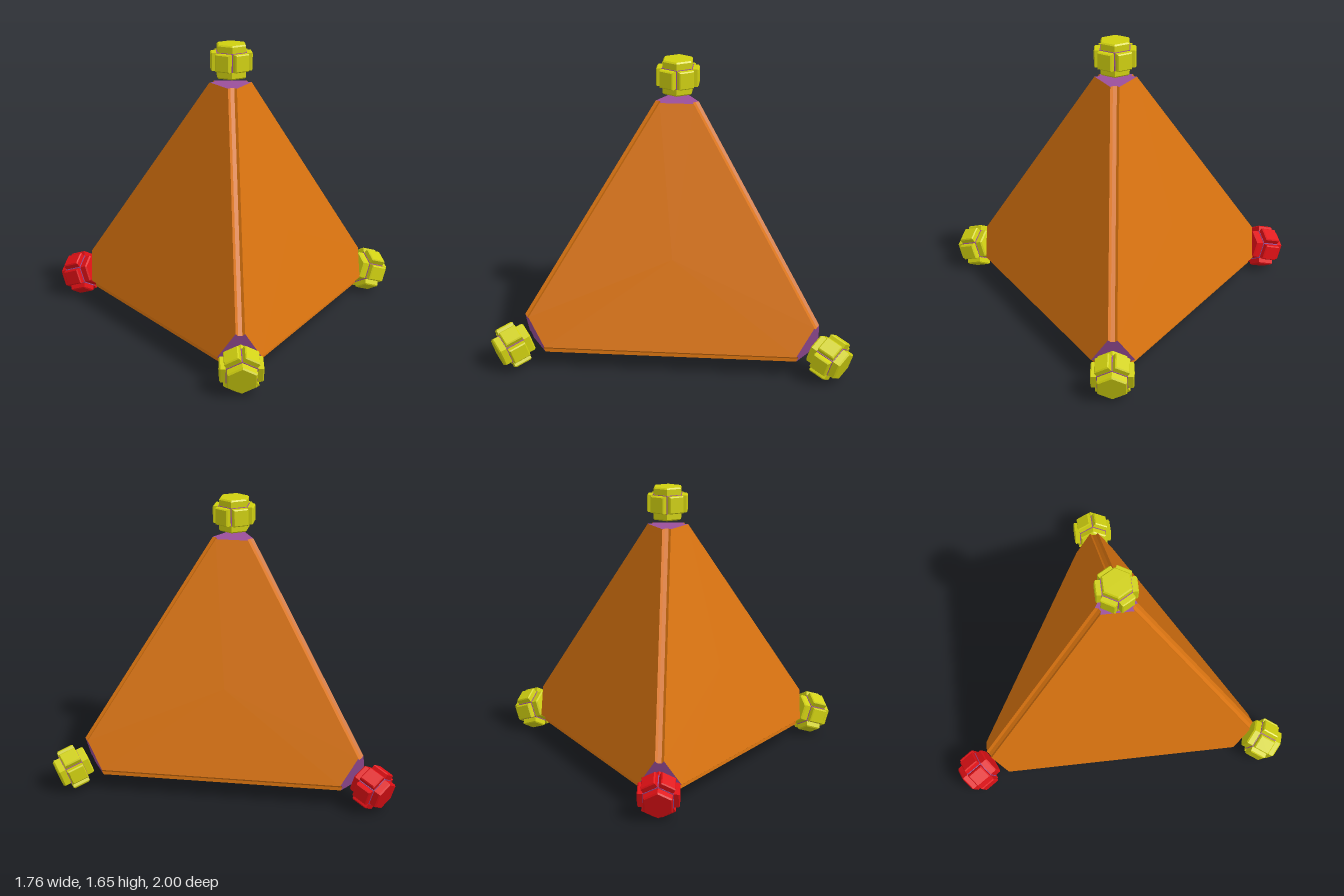
import * as THREE from 'three';

const CENTRE = new THREE.Vector3(0.24, 0.5, 0);
const R = 1.17;        // centre to the sharp (uncut) corner
const CUT = 0.1506;    // fraction of each edge removed at a corner
const TRIM = 0.05;     // edge trim, measured in the corner cut
const KNOB_R = 1.07;   // centre to knob

const mat = (color) => new THREE.MeshStandardMaterial({ color, flatShading: true });

// Four corner directions of a regular tetrahedron: top, left, and the other two
const T = Math.acos(-1 / 3);
const Z = new THREE.Vector3(0, 0, 1), Y = new THREE.Vector3(0, 1, 0);
const turns = [new THREE.Quaternion()];
for (let i = 0; i < 3; i++) {
  turns.push(new THREE.Quaternion().setFromAxisAngle(Y, i * Math.PI * 2 / 3)
    .multiply(new THREE.Quaternion().setFromAxisAngle(Z, T)));
}
const dirs = turns.map((q) => Y.clone().applyQuaternion(q));
const V = dirs.map((d) => d.clone().multiplyScalar(R));

// Groove profile across edge i-j, at the cut of corner i, from face ijk to face ijl
function profile(i, j, k, l) {
  const e = V[i].clone().lerp(V[j], CUT);
  const side = (m) => V[m].clone().sub(V[j]).setLength(TRIM).add(e);
  const a = side(k), b = side(l);
  const inward = cutCentre(i).sub(e).setLength(0.015);
  return [a, a.clone().lerp(b, 0.28).add(inward), a.clone().lerp(b, 0.72).add(inward), b];
}

function cutCentre(i) {
  const c = new THREE.Vector3();
  for (let j = 0; j < 4; j++) if (j !== i) c.add(V[i].clone().lerp(V[j], CUT));
  return c.divideScalar(3);
}

// Fan a polygon around its middle, facing away from the body's centre
function addPolygon(out, pts) {
  const c = pts.reduce((s, p) => s.add(p), new THREE.Vector3()).divideScalar(pts.length);
  pts.forEach((p, n) => {
    const q = pts[(n + 1) % pts.length];
    const normal = p.clone().sub(c).cross(q.clone().sub(c));
    const tri = normal.dot(c) > 0 ? [c, p, q] : [c, q, p];
    tri.forEach((v) => out.push(v.x, v.y, v.z));
  });
}

function polygonMesh(name, positions, material) {
  const g = new THREE.BufferGeometry();
  g.setAttribute('position', new THREE.Float32BufferAttribute(positions, 3));
  g.computeVertexNormals();
  const m = new THREE.Mesh(g, material);
  m.name = name;
  return m;
}

function makeBody(orange, purple) {
  const body = new THREE.Group();
  body.name = 'pyramidBody';
  const faces = [], grooves = [], cuts = [];
  for (let i = 0; i < 4; i++) {
    const others = [0, 1, 2, 3].filter((n) => n !== i);
    // large face opposite corner i
    const face = [];
    others.forEach((a, n) => {
      const b = others[(n + 1) % 3], c = others[(n + 2) % 3];
      face.push(profile(a, c, b, i)[0], profile(a, b, c, i)[0]);
    });
    addPolygon(faces, face);
    // flat cut at corner i
    addPolygon(cuts, others.flatMap((j, n) =>
      profile(i, j, others[(n + 2) % 3], others[(n + 1) % 3])));
    // grooved edges, one for each pair of corners
    for (let j = i + 1; j < 4; j++) {
      const [k, l] = others.filter((n) => n !== j);
      const p = profile(i, j, k, l), q = profile(j, i, k, l);
      for (let n = 0; n < 3; n++) addPolygon(grooves, [p[n], p[n + 1], q[n + 1], q[n]]);
    }
  }
  body.add(polygonMesh('faces', faces, orange),
    polygonMesh('edgeGrooves', grooves, orange),
    polygonMesh('cornerCuts', cuts, purple));
  body.position.copy(CENTRE);
  return body;
}

// Six-sided knob with a raised pad on each side
function makeKnob(color, purple) {
  const knob = new THREE.Group();
  knob.name = 'cornerKnob';
  const material = mat(color);
  const hex = (name, r, top, h, y, m) => {
    const mesh = new THREE.Mesh(new THREE.CylinderGeometry(top, r, h, 6), m);
    mesh.rotation.y = Math.PI / 6;
    mesh.position.y = y;
    mesh.name = name;
    knob.add(mesh);
  };
  hex('core', 0.092, 0.092, 0.176, 0, material);
  hex('topCap', 0.092, 0.084, 0.008, 0.092, material);
  const base = 0.092;
  hex('bottomCap', 0.084, base, 0.008, -0.092, material);
  hex('band', 0.097, 0.097, 0.106, 0, purple);

  const bevel = 0.006, w = 0.045 - bevel, h = 0.05 - bevel;
  const outline = new THREE.Shape([[-w, -h], [w, -h], [w, h], [-w, h]]
    .map(([x, y]) => new THREE.Vector2(x, y)));
  const padShape = new THREE.ExtrudeGeometry(outline, {
    depth: 0.04, bevelSize: bevel, bevelThickness: bevel, bevelSegments: 1,
  });
  padShape.translate(0, 0, 0.071);
  for (let n = 0; n < 6; n++) {
    const pad = new THREE.Mesh(padShape, material);
    pad.rotation.y = n * Math.PI / 3;
    pad.name = 'pad';
    knob.add(pad);
  }
  return knob;
}

export function createModel() {
  const model = new THREE.Group();
  model.name = 'cornerKnobPyramid';
  const orange = mat(0xd9730f), purple = mat(0x9b4f9b);
  model.add(makeBody(orange, purple));

  // One knob floating off each corner; the one at -x is red
  turns.forEach((q, i) => {
    const knob = makeKnob(dirs[i].x < -0.5 ? 0xe01015 : 0xd0d010, purple);
    knob.quaternion.copy(q);
    knob.position.copy(dirs[i]).multiplyScalar(KNOB_R).add(CENTRE);
    model.add(knob);
  });
  return model;
}
